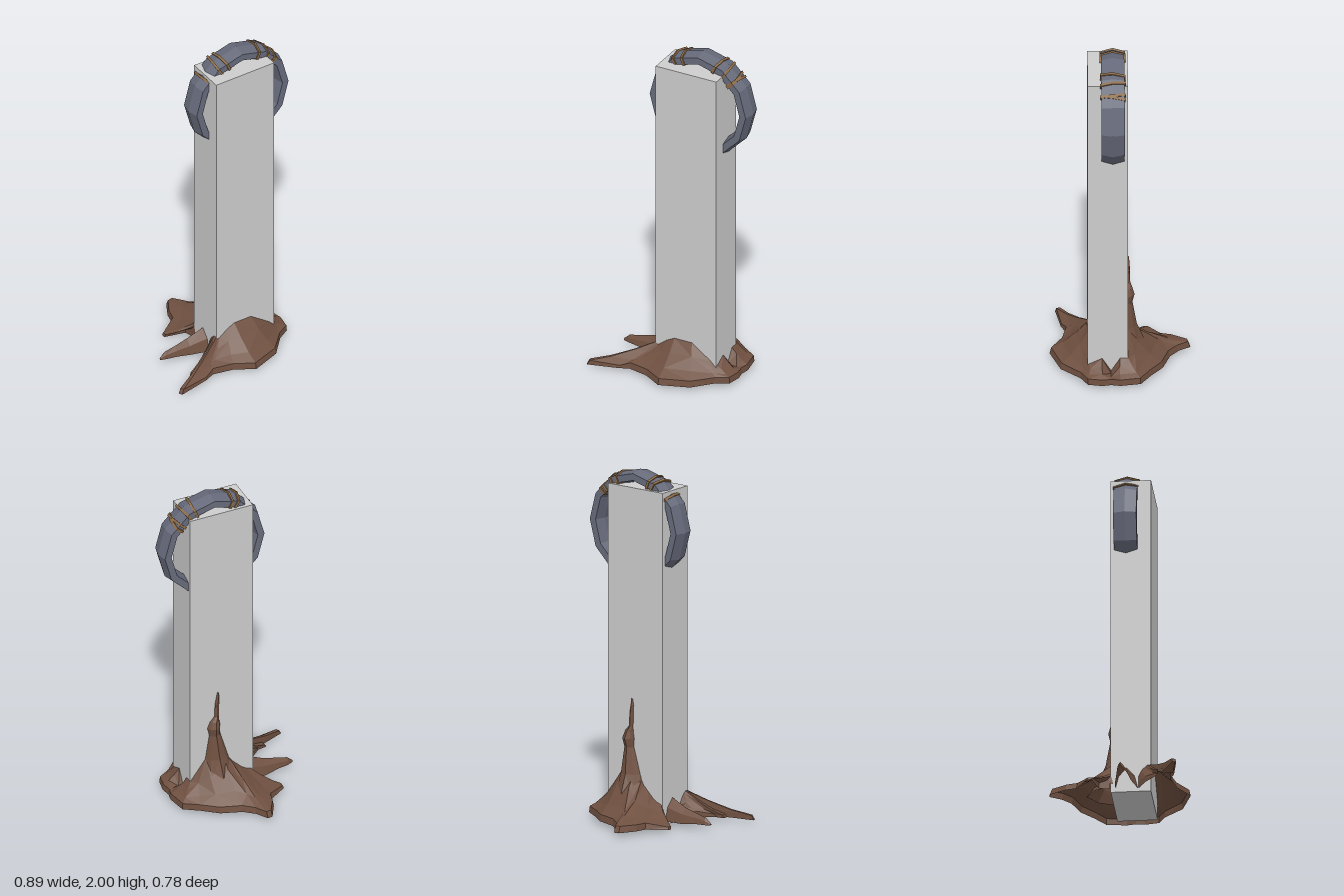
import * as THREE from 'three';

const mat = (name, color, extra = {}) =>
  Object.assign(new THREE.MeshStandardMaterial({ color, flatShading: true, ...extra }), { name });

// Skin a grid of points: every row has the same number of points
function loft(rows) {
  const pos = rows.flat(2), n = rows[0].length, index = [];
  for (let r = 0; r < rows.length - 1; r++) {
    for (let i = 0; i < n - 1; i++) {
      const a = r * n + i, b = a + 1, c = a + n, d = c + 1;
      if ((r + i) % 2) index.push(a, b, c, b, d, c);
      else index.push(a, b, d, a, d, c);
    }
  }
  const g = new THREE.BufferGeometry();
  g.setAttribute('position', new THREE.Float32BufferAttribute(pos, 3));
  g.setIndex(index);
  const flat = g.toNonIndexed();
  flat.computeVertexNormals();
  return flat;
}

export function createModel() {
  const model = new THREE.Group();
  const stone = mat('pale stone', 0xcccccc);
  const iron = mat('blue grey iron', 0x666a7a);
  const cord = mat('tan cord', 0x8c6a45);
  const wood = mat('brown root', 0x6f5040, { side: THREE.DoubleSide });
  const add = (name, geometry, material, parent = model) => {
    const m = new THREE.Mesh(geometry, material);
    m.name = name;
    parent.add(m);
    return m;
  };

  // Pillar
  add('pillar', new THREE.BoxGeometry(0.385, 1.91, 0.225), stone).position.set(0.0925, 0.955, 0.068);

  // Twelve-sided ring passing through the top of the pillar
  const profile = [[0.25, 0], [0.265, -0.065], [0.305, -0.065], [0.32, 0], [0.305, 0.065], [0.265, 0.065]];
  const ringGroup = new THREE.Group();
  ringGroup.name = 'ringAssembly';
  ringGroup.position.set(0.125, 1.68, 0.04);
  model.add(ringGroup);
  const loop = [...profile, profile[0]].map(([r, z]) => new THREE.Vector2(r, z));
  add('ring', new THREE.LatheGeometry(loop, 12), iron, ringGroup).rotation.x = Math.PI / 2;

  // Cords wrapped around the ring: angle in degrees and tilt
  const bands = [[139, 0.08], [120, -0.1], [111, 0.06], [67, -0.08], [56, 0.1], [41, -0.15], [43, 0.12]];
  for (const [deg, tilt] of bands) {
    const a = THREE.MathUtils.degToRad(deg);
    const off = THREE.MathUtils.degToRad((deg % 30) - 15);
    const s = Math.cos(Math.PI / 12) / Math.cos(off);
    const pts = profile.map(([r, z]) => new THREE.Vector2((0.285 + (r - 0.285) * 1.25) * s, z * 1.1));
    const g = new THREE.ExtrudeGeometry(new THREE.Shape(pts), { depth: 0.014, bevelEnabled: false });
    g.translate(0, 0, -0.007);
    g.rotateX(tilt);
    const radial = new THREE.Vector3(Math.cos(a), Math.sin(a), 0);
    const across = new THREE.Vector3(0, 0, 1);
    g.applyMatrix4(new THREE.Matrix4().makeBasis(radial, across, radial.clone().cross(across)));
    add('cordBand', g, cord, ringGroup);
  }

  // Root skirt spokes: outer x, outer z, inner x, inner z, inner height
  const frontSpokes = [
    [-0.1, 0.11, -0.1, 0.11, 0.09], [-0.18, 0.16, -0.1, 0.13, 0.13], [-0.26, 0.23, -0.1, 0.15, 0.15],
    [-0.315, 0.24, -0.1, 0.16, 0.16], [-0.31, 0.27, -0.1, 0.17, 0.16], [-0.45, 0.335, -0.1, 0.175, 0.16],
    [-0.44, 0.355, -0.1, 0.18, 0.16], [-0.26, 0.325, -0.09, 0.18, 0.15], [-0.2, 0.3, -0.08, 0.18, 0.15],
    [-0.08, 0.325, -0.03, 0.18, 0.19], [0.03, 0.39, 0.02, 0.18, 0.215], [0.2, 0.33, 0.13, 0.18, 0.215],
    [0.3, 0.22, 0.25, 0.18, 0.13], [0.37, 0.18, 0.285, 0.16, 0.11], [0.385, 0.1, 0.285, 0.1, 0.14],
    [0.375, 0.05, 0.285, 0.05, 0.06],
  ];
  const backSpokes = [
    [0.375, 0.05, 0.285, 0.05, 0.06], [0.385, 0, 0.285, 0, 0.14], [0.365, -0.115, 0.285, -0.045, 0.14],
    [0.28, -0.17, 0.24, -0.045, 0.2], [0.19, -0.24, 0.19, -0.045, 0.27], [0.07, -0.28, 0.09, -0.045, 0.3],
    [0.01, -0.33, 0.05, -0.045, 0.24], [-0.03, -0.395, 0.03, -0.045, 0.21], [-0.06, -0.39, 0, -0.045, 0.18],
    [-0.11, -0.3, -0.03, -0.045, 0.15], [-0.125, -0.235, -0.06, -0.045, 0.13],
    [-0.235, -0.165, -0.09, -0.045, 0.12], [-0.235, -0.14, -0.1, -0.045, 0.1],
    [-0.115, -0.11, -0.1, -0.04, 0.09], [-0.1, -0.05, -0.1, -0.03, 0.05],
  ];
  const skirt = (spokes) => loft([0, 0.04, 0.35, 0.7, 1].map((t, row) =>
    spokes.map(([ox, oz, ix, iz, top]) => {
      const edge = ox < -0.2 ? 0.035 : 0.055;
      const y = row === 0 ? (ox < -0.4 ? 0.01 : 0.02) : edge + (top - edge) * t ** 1.4;
      return [ox + (ix - ox) * t, y, oz + (iz - oz) * t];
    })));
  add('frontRoots', skirt(frontSpokes), wood);
  add('backRoots', skirt(backSpokes), wood);

  // Root climbing the back face: height, centre x, half width, depth z
  const climb = [
    [0.08, 0.12, 0.13, -0.2], [0.15, 0.12, 0.1, -0.145], [0.27, 0.125, 0.07, -0.095], [0.42, 0.135, 0.036, -0.07],
    [0.47, 0.14, 0.042, -0.082], [0.51, 0.135, 0.03, -0.07], [0.54, 0.122, 0.016, -0.058],
    [0.62, 0.12, 0.016, -0.056], [0.66, 0.115, 0.013, -0.055], [0.7, 0.115, 0.003, -0.05],
  ];
  add('climbingRoot', loft(climb.map(([y, x, w, z]) =>
    [[1, 0], [0.65, 0.65], [0, 1], [-0.65, 0.65], [-1, 0]].map(([u, v]) =>
      [x + u * w, y, -0.04 + (z + 0.04) * v]))), wood);

  // Thin root on the side: x, bottom, top, centre z, half width
  const side = [
    [-0.09, 0.02, 0.15, 0.045, 0.065], [-0.2, 0.02, 0.105, 0.035, 0.045],
    [-0.28, 0.03, 0.085, 0.035, 0.03], [-0.345, 0.03, 0.07, 0.033, 0.018], [-0.38, 0.03, 0.04, 0.035, 0.004],
  ];
  add('sideRoot', loft(side.map(([x, lo, hi, z, w]) =>
    [[-1, 0], [-0.7, 0.6], [0, 1], [0.7, 0.6], [1, 0]].map(([u, v]) =>
      [x, lo + (hi - lo) * v, z + u * w]))), wood);

  return model;
}
